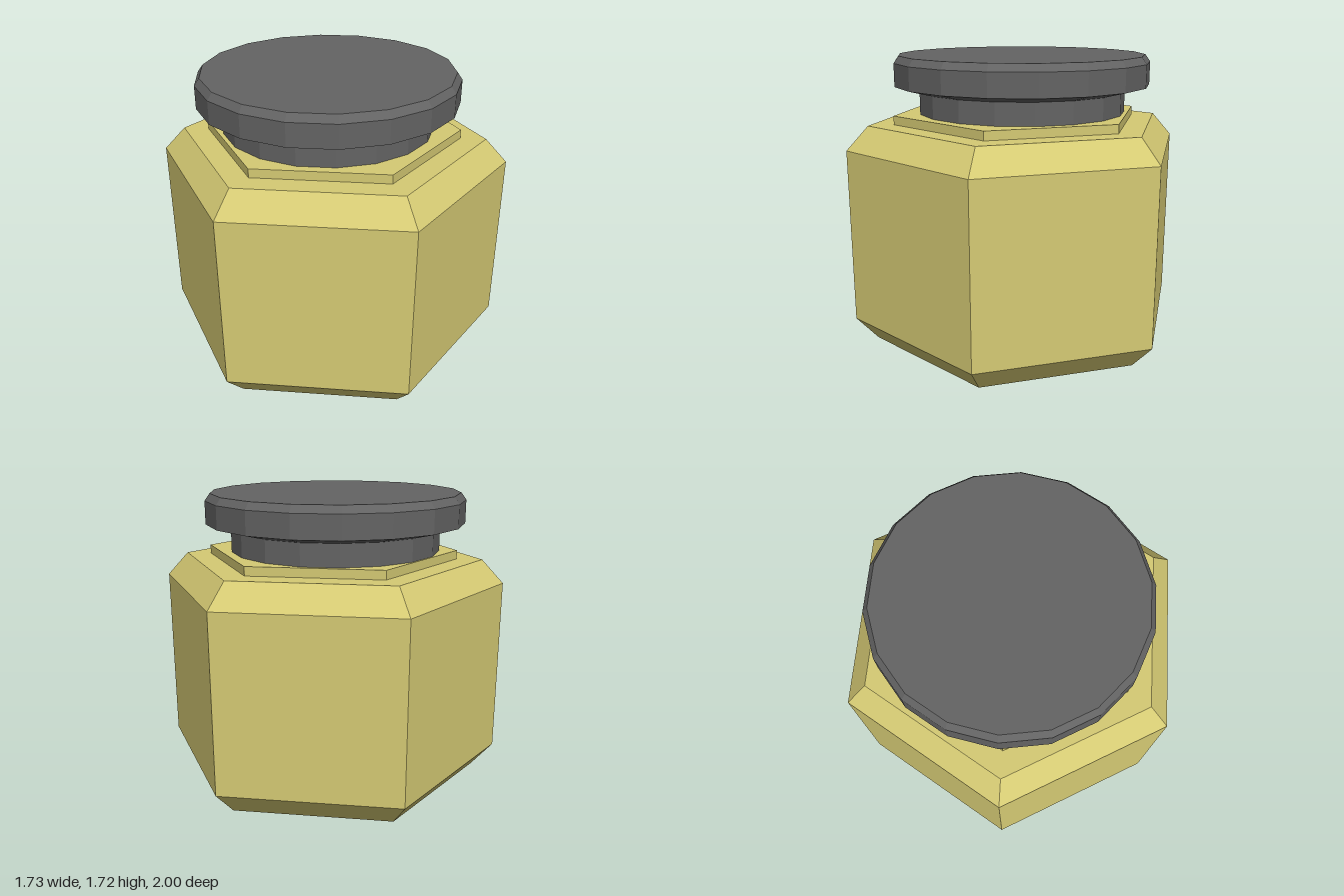
import * as THREE from 'three';

// Faceted solid of revolution from [radius, height] points, bottom to top
function facetedPart(name, profile, sides, material) {
  const points = profile.map(([r, y]) => new THREE.Vector2(r, y));
  const geometry = new THREE.LatheGeometry(points, sides).toNonIndexed();
  geometry.computeVertexNormals();
  const mesh = new THREE.Mesh(geometry, material);
  mesh.name = name;
  return mesh;
}

export function createModel() {
  const group = new THREE.Group();
  group.name = 'jar';
  const yellow = new THREE.MeshStandardMaterial({ color: 0xd6cb74, flatShading: true });
  const darkGrey = new THREE.MeshStandardMaterial({ color: 0x646464, flatShading: true });

  // Hexagonal body with chamfered shoulder and base
  group.add(facetedPart('body', [
    [0, 0], [0.77, 0], [0.875, 0.05], [1, 0.19],
    [1, 1.2], [0.875, 1.335], [0, 1.335],
  ], 6, yellow));

  // Thin hexagonal step on the shoulder
  group.add(facetedPart('collar', [
    [0, 1.335], [0.73, 1.335], [0.73, 1.385], [0, 1.385],
  ], 6, yellow));

  // Neck and flared lid, slightly off-centre
  const stopper = new THREE.Group();
  stopper.name = 'stopper';
  stopper.position.x = -0.03;
  stopper.add(
    facetedPart('neck', [[0, 1.36], [0.602, 1.36], [0.602, 1.51], [0, 1.51]], 18, darkGrey),
    facetedPart('lid', [
      [0, 1.51], [0.602, 1.51], [0.742, 1.545],
      [0.742, 1.675], [0.713, 1.715], [0, 1.715],
    ], 18, darkGrey),
  );
  group.add(stopper);
  return group;
}
